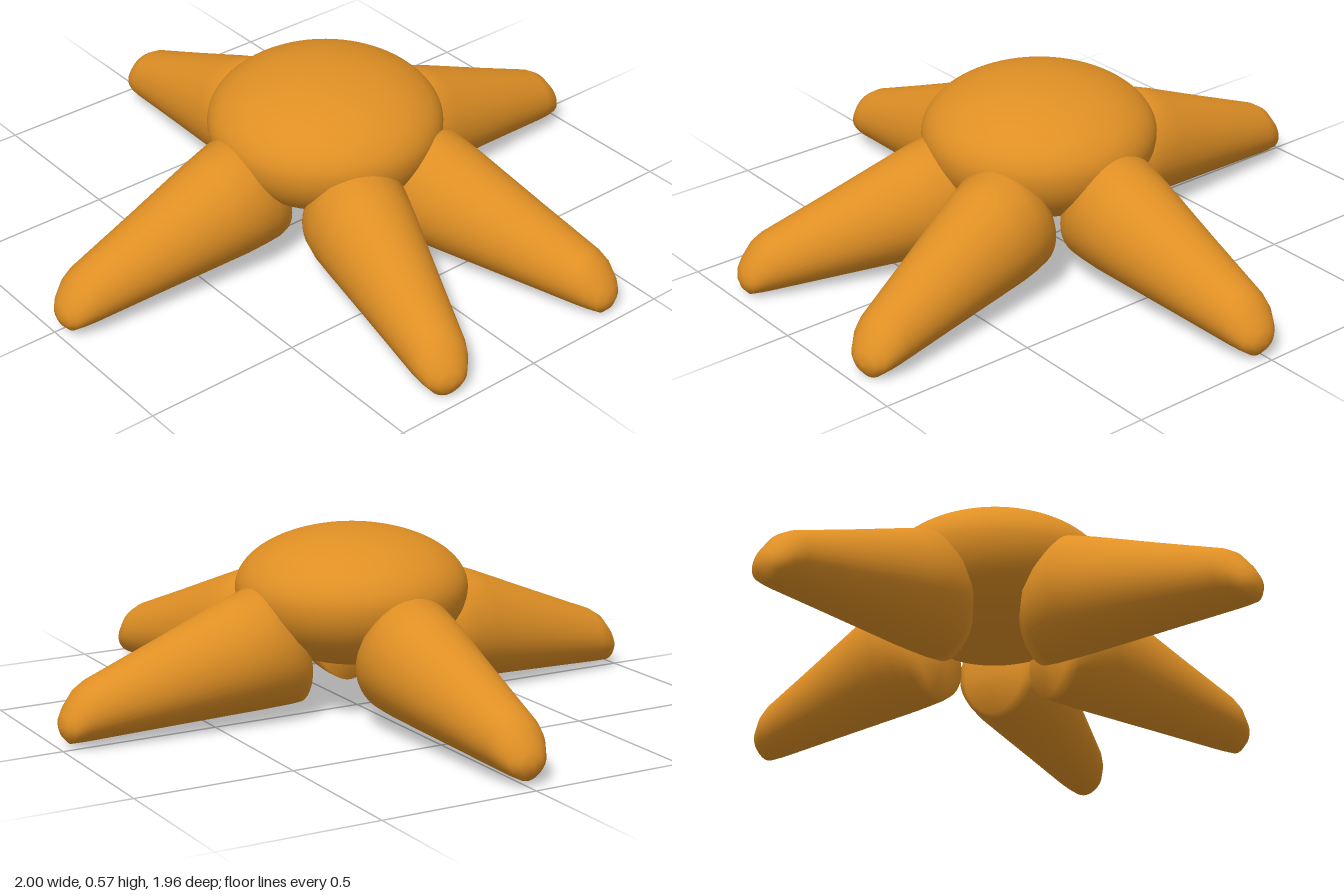
import * as THREE from 'three';
import { mergeVertices } from 'three/addons/utils/BufferGeometryUtils.js';

// Arm cross-sections: [distance from centre, bottom, top, half width]
const ARM_SECTIONS = [
  [0.185, 0.17, 0.17, 0],
  [0.2, 0.035, 0.27, 0.1],
  [0.24, 0.033, 0.345, 0.137],
  [0.29, 0.032, 0.39, 0.156],
  [0.36, 0.03, 0.413, 0.166],
  [0.45, 0.028, 0.38, 0.155],
  [0.68, 0.022, 0.287, 0.122],
  [0.9, 0.016, 0.2, 0.092],
  [0.935, 0.015, 0.178, 0.082],
  [0.97, 0.015, 0.135, 0.062],
  [0.988, 0.035, 0.105, 0.04],
  [1.0, 0.07, 0.07, 0],
];

// Lofts egg-shaped rings along +z
function armGeometry(sections, sides = 40) {
  const positions = [], index = [];
  for (const [d, bottom, top, w] of sections) {
    const mid = (bottom + top) / 2, h = (top - bottom) / 2;
    for (let j = 0; j < sides; j++) {
      const a = (j / sides) * Math.PI * 2, s = Math.sin(a);
      const narrow = s < 0 ? 1 - 0.15 * s * s : 1;
      positions.push(w * Math.cos(a) * narrow, mid + h * s, d);
    }
  }
  for (let i = 0; i < sections.length - 1; i++) {
    for (let j = 0; j < sides; j++) {
      const k = (j + 1) % sides;
      const a = i * sides + j, b = i * sides + k;
      if (i > 0) index.push(a, b, a + sides);
      if (i < sections.length - 2 || i === 0) index.push(b, b + sides, a + sides);
    }
  }
  let geo = new THREE.BufferGeometry();
  geo.setAttribute('position', new THREE.Float32BufferAttribute(positions, 3));
  geo.setIndex(index);
  geo = mergeVertices(geo, 1e-5);
  geo.computeVertexNormals();
  return geo;
}

// Domed disc: shallow above the rim, deeper below
function bodyGeometry() {
  const geo = new THREE.SphereGeometry(1, 64, 40);
  const p = geo.attributes.position;
  for (let i = 0; i < p.count; i++) {
    const y = p.getY(i);
    p.setXYZ(i, p.getX(i) * 0.365, y * (y > 0 ? 0.19 : 0.24), p.getZ(i) * 0.365);
  }
  geo.computeVertexNormals();
  return geo;
}

export function createModel() {
  const group = new THREE.Group();
  const orange = new THREE.MeshStandardMaterial({ color: 0xdf8f24 });
  orange.name = 'orange skin';

  const body = new THREE.Mesh(bodyGeometry(), orange);
  body.name = 'body';
  body.position.set(-0.005, 0.38, 0.045);
  group.add(body);

  // Five arms: name, heading in degrees from the front, origin
  const geo = armGeometry(ARM_SECTIONS);
  const arms = [
    ['leftArm', 90, 0, 0, 0.025],
    ['rightArm', -90, 0, 0, 0.025],
    ['backArm', 180, -0.005, 0, 0.02],
    ['frontLeftArm', 15.5, 0.083, -0.012, 0.015],
    ['frontRightArm', -15.5, -0.033, -0.014, 0.015],
  ];
  for (const [name, heading, x, y, z] of arms) {
    const arm = new THREE.Mesh(geo, orange);
    arm.name = name;
    arm.position.set(x, y, z);
    arm.rotation.y = THREE.MathUtils.degToRad(heading);
    group.add(arm);
  }
  return group;
}
